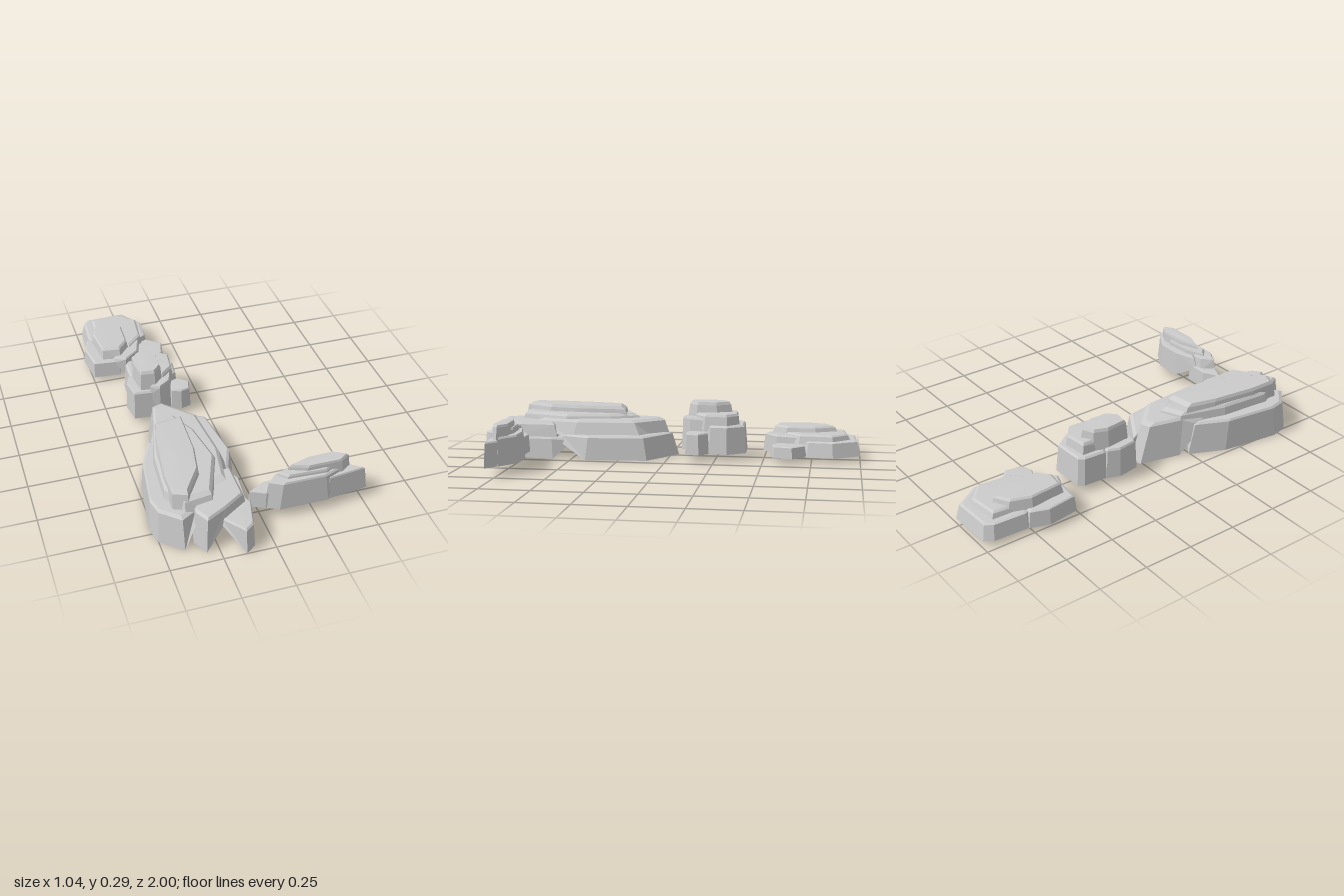
import * as THREE from 'three';

const material = new THREE.MeshStandardMaterial({ color: 0xcccccc, flatShading: true, side: THREE.DoubleSide });

// Shrink an outline towards its middle
function shrink(points, k) {
  const cx = points.reduce((s, p) => s + p[0], 0) / points.length;
  const cz = points.reduce((s, p) => s + p[1], 0) / points.length;
  return points.map(([x, z]) => [cx + (x - cx) * k, cz + (z - cz) * k]);
}

function inside([x, z], poly) {
  let hit = false;
  poly.forEach(([ax, az], i) => {
    const [bx, bz] = poly[(i + 1) % poly.length];
    if ((az > z) !== (bz > z) && x < ((bx - ax) * (z - az)) / (bz - az) + ax) hit = !hit;
  });
  return hit;
}

// One stone slab: open base, tapered wall, worn rim and a slightly domed top.
// Base corners buried in a neighbouring slab are tucked up, leaving the rock hollow.
function slabGeometry(slab, slabs) {
  const { outline, base, height, taper } = slab;
  const n = outline.length;
  const others = slabs.filter((s) => s !== slab);
  const low = outline.map((p) => {
    let y = base;
    for (const o of others) {
      if (inside(p, shrink(o.outline, 1 - o.taper))) y = Math.max(y, Math.min(o.height * 0.85, height * 0.8));
    }
    return y;
  });
  const rings = [
    outline.map(([x, z], i) => [x, low[i], z]),
    shrink(outline, 1 - taper).map(([x, z]) => [x, height * 0.93, z]),
    shrink(outline, 0.92 - taper).map(([x, z]) => [x, height * 0.99, z]),
  ];
  const [cx, cz] = shrink(outline, 0)[0];
  const positions = [...rings.flat(2), cx, height, cz];
  const index = [];
  const area = outline.reduce((s, [x, z], i) => {
    const [u, v] = outline[(i + 1) % n];
    return s + x * v - u * z;
  }, 0);
  const face = (a, b, c) => index.push(...(area > 0 ? [a, c, b] : [a, b, c]));
  for (let i = 0; i < n; i++) {
    const j = (i + 1) % n;
    for (let r = 0; r < 2; r++) {
      face(r * n + i, r * n + j, (r + 1) * n + j);
      face(r * n + i, (r + 1) * n + j, (r + 1) * n + i);
    }
    face(2 * n + i, 2 * n + j, 3 * n);
  }
  const geometry = new THREE.BufferGeometry();
  geometry.setAttribute('position', new THREE.Float32BufferAttribute(positions, 3));
  geometry.setIndex(index);
  geometry.computeVertexNormals();
  return geometry;
}

const slab = (name, base, height, taper, outline) => ({ name, base, height, taper, outline });

function rock(name, slabs, position = [0, 0, 0], scale = [1, 1, 1]) {
  const group = new THREE.Group();
  group.name = name;
  for (const s of slabs) {
    const mesh = new THREE.Mesh(slabGeometry(s, slabs), material);
    mesh.name = s.name;
    group.add(mesh);
  }
  group.position.set(...position);
  group.scale.set(...scale);
  return group;
}

// Compact boulder in unit size, used twice
const boulder = [
  slab('backSlab', 0, 0.57, 0.09, [[-0.67, -0.96], [0.34, -1], [0.76, -0.45], [0.7, 0.08], [0.2, 0.35], [-0.6, 0.2], [-0.84, -0.1], [-0.8, -0.8]]),
  slab('leftSlab', 0, 0.6, 0.08, [[-0.9, 0.9], [-1, 0.27], [-0.85, -0.1], [-0.4, -0.1], [-0.1, 0.5], [-0.25, 0.96]]),
  slab('frontSlab', 0, 0.7, 0.09, [[-0.4, 0.9], [-0.12, 1], [0.28, 0.72], [0.5, 0.1], [-0.3, 0.1]]),
  slab('sideLobe', 0, 0.43, 0.1, [[0.65, 0.08], [1, 0.36], [0.9, 0.74], [0.6, 0.82], [0.3, 0.72], [0.3, 0.2]]),
  slab('shoulder', 0.45, 0.79, 0.08, [[-0.6, -0.72], [0.15, -0.8], [0.58, -0.45], [0.5, 0.25], [0.1, 0.6], [-0.6, 0.1]]),
  slab('ridge', 0.5, 1, 0.1, [[-0.22, -0.56], [0.1, -0.1], [0.08, 0.54], [-0.2, 0.83], [-0.65, 0.78], [-0.74, 0.05], [-0.57, -0.38]]),
];

// Long main rock
const longRock = [
  slab('leftSlab', 0, 0.17, 0.1, [[-0.4, 0.24], [-0.48, 0.42], [-0.52, 0.72], [-0.5, 0.81], [-0.4, 0.9], [-0.32, 0.85], [-0.3, 0.3]]),
  slab('coreSlab', 0, 0.2, 0.16, [[-0.41, 0.32], [-0.38, 0.2], [-0.33, -0.01], [-0.27, -0.03], [-0.11, 0.14], [-0.08, 0.5], [-0.12, 0.75], [-0.3, 0.8], [-0.4, 0.7]]),
  slab('rightSlab', 0, 0.125, 0.1, [[-0.28, -0.04], [-0.06, 0.1], [-0.02, 0.42], [-0.08, 0.58], [-0.16, 0.5], [-0.22, 0.2]]),
  slab('rightFootSlab', 0, 0.11, 0.12, [[-0.09, 0.5], [-0.045, 0.6], [-0.06, 0.78], [-0.16, 0.8], [-0.18, 0.55]]),
  slab('frontSlab', 0, 0.185, 0.1, [[-0.35, 0.86], [-0.31, 0.94], [-0.2, 0.88], [-0.08, 0.8], [-0.08, 0.58], [-0.3, 0.6]]),
  slab('frontLobe', 0, 0.13, 0.1, [[-0.07, 0.75], [-0.05, 0.8], [-0.09, 0.96], [-0.14, 1], [-0.23, 0.88], [-0.2, 0.72]]),
  slab('shoulder', 0.12, 0.225, 0.07, [[-0.36, 0.2], [-0.25, 0.15], [-0.18, 0.3], [-0.14, 0.55], [-0.24, 0.82], [-0.38, 0.84], [-0.45, 0.72], [-0.43, 0.45]]),
  slab('ridge', 0.13, 0.262, 0.07, [[-0.36, 0.24], [-0.22, 0.22], [-0.23, 0.5], [-0.26, 0.67], [-0.36, 0.83], [-0.43, 0.8], [-0.43, 0.65], [-0.4, 0.4]]),
];

// Thin wall-like rock, heights measured from its own base
const thinRock = [
  slab('endLobe', 0, 0.09, 0.1, [[-0.06, 0.75], [0.03, 0.7], [0.15, 0.7], [0.14, 0.78], [0.02, 0.79]]),
  slab('frontSlab', 0, 0.15, 0.13, [[0.01, 0.78], [0.08, 0.82], [0.32, 0.82], [0.42, 0.78], [0.32, 0.72], [0.07, 0.72]]),
  slab('endSlab', 0, 0.125, 0.1, [[0.26, 0.76], [0.38, 0.73], [0.46, 0.74], [0.525, 0.79], [0.32, 0.815]]),
  slab('backSlab', 0, 0.14, 0.1, [[0.1, 0.71], [0.23, 0.67], [0.36, 0.67], [0.47, 0.74], [0.4, 0.77], [0.16, 0.76]]),
  slab('shoulder', 0.08, 0.17, 0.06, [[0.08, 0.75], [0.18, 0.71], [0.32, 0.7], [0.4, 0.75], [0.32, 0.8], [0.12, 0.79]]),
  slab('ridge', 0.09, 0.198, 0.07, [[0.13, 0.75], [0.24, 0.715], [0.38, 0.71], [0.45, 0.75], [0.4, 0.785], [0.22, 0.785]]),
];

export function createModel() {
  const model = new THREE.Group();
  model.name = 'rockFormation';
  model.add(
    rock('longRock', longRock),
    rock('tallBoulder', boulder, [-0.23, 0.035, -0.235], [0.17, 0.26, 0.175]),
    rock('flatBoulder', boulder, [-0.3, 0.025, -0.745], [0.22, 0.14, 0.255]),
    rock('thinRock', thinRock, [0, 0.05, 0]),
  );
  return model;
}
